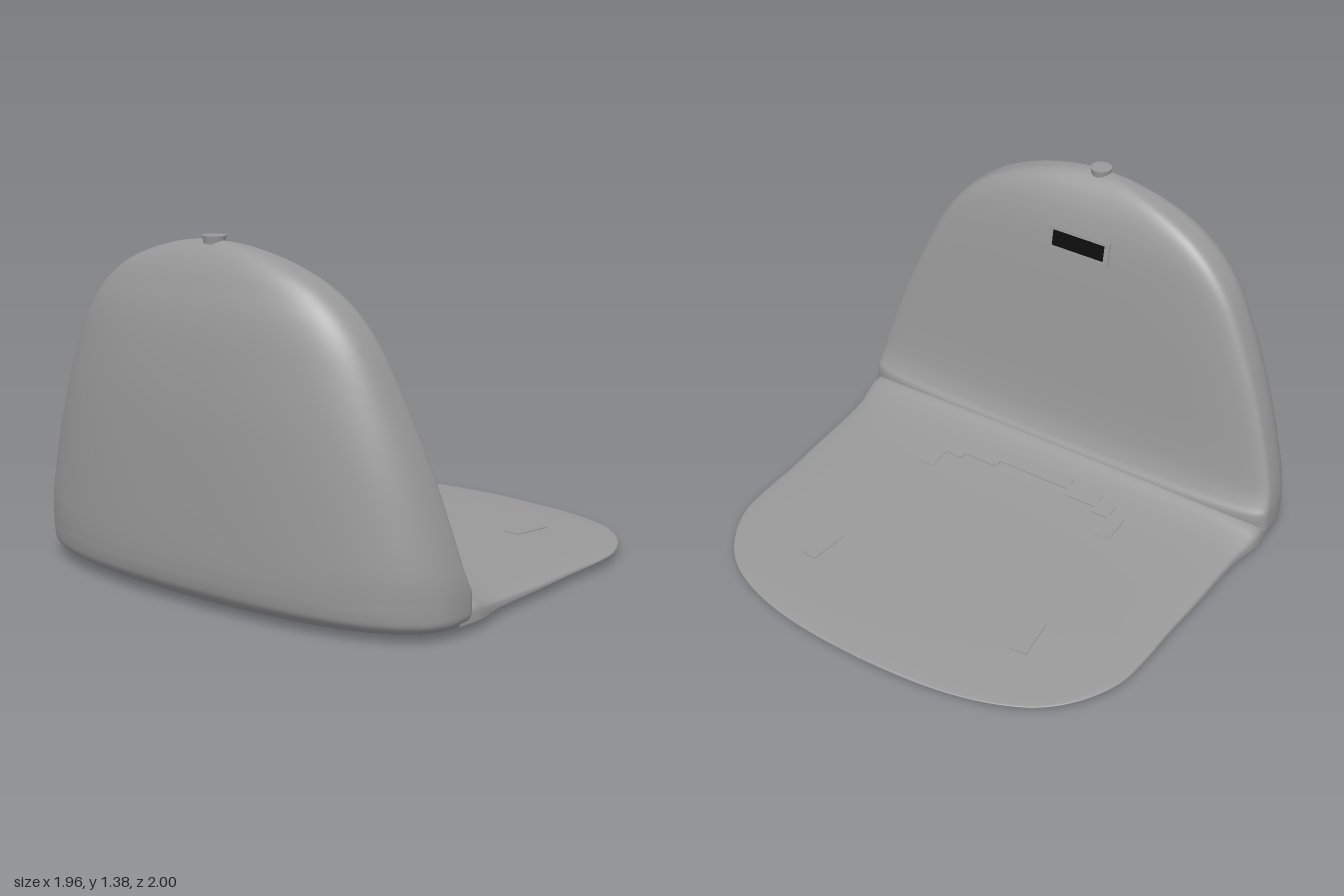
import * as THREE from 'three';

const SEG = 96;

// Smooth interpolation through rows of numbers; the parameter is the row index
function spline(rows) {
  const n = rows[0].length;
  const c = new THREE.CubicInterpolant(rows.map((_, i) => i), rows.flat(), n, new Float32Array(n));
  return t => Array.from(c.evaluate(t));
}

// Skin closed rings of points into one smooth surface
function loft(rings) {
  const pos = rings.flat(2), idx = [];
  for (let i = 0; i < rings.length - 1; i++) {
    for (let j = 0; j < SEG; j++) {
      const k = (j + 1) % SEG;
      const a = i * SEG + j, b = a + SEG, c = i * SEG + k, d = c + SEG;
      idx.push(a, b, c, b, d, c);
    }
  }
  const g = new THREE.BufferGeometry();
  g.setAttribute('position', new THREE.Float32BufferAttribute(pos, 3));
  g.setIndex(idx);
  g.computeVertexNormals();
  return g;
}

// Gently dished underside shared by upright and plate
const floorY = (x, z) =>
  0.04 * z * z + 0.04 * Math.max(0, (-0.55 - x) / 0.4) ** 4 + 0.035 * Math.max(0, x) ** 4;

const spow = (v, e) => Math.sign(v) * Math.abs(v) ** e;

// Upright: horizontal sections, flat towards +x and bowed towards -x
function uprightGeometry() {
  // height, back x, middle x, front x, half width
  const at = spline([
    [0, -0.9, -0.58, -0.46, 0.975],
    [0.03, -0.955, -0.58, -0.46, 0.997],
    [0.08, -0.972, -0.58, -0.46, 1],
    [0.14, -0.978, -0.58, -0.462, 0.999],
    [0.18, -0.98, -0.585, -0.485, 0.996],
    [0.26, -0.981, -0.6, -0.513, 0.983],
    [0.4, -0.98, -0.62, -0.535, 0.945],
    [0.6, -0.975, -0.65, -0.556, 0.88],
    [0.8, -0.965, -0.68, -0.576, 0.8],
    [1, -0.943, -0.71, -0.599, 0.705],
    [1.12, -0.921, -0.73, -0.617, 0.62],
    [1.2, -0.895, -0.742, -0.638, 0.533],
    [1.26, -0.872, -0.755, -0.662, 0.435],
    [1.31, -0.845, -0.765, -0.692, 0.31],
    [1.345, -0.817, -0.773, -0.728, 0.18],
    [1.36, -0.796, -0.777, -0.756, 0.08],
    [1.365, -0.777, -0.777, -0.777, 0],
  ]);
  const ring = (t, scale) => {
    const [h, back, mid, front, w] = at(t);
    const lift = Math.max(0, 1 - h / 0.25);
    return Array.from({ length: SEG }, (_, j) => {
      const a = (j / SEG) * Math.PI * 2, c = Math.cos(a), s = Math.sin(a);
      const e = c > 0 ? 2 / 5 : 2 / 2.4;
      const reach = c > 0 ? front - mid : mid - back;
      const x = mid + scale * reach * spow(c, e);
      const z = scale * w * spow(s, e);
      return [x, h + lift * floorY(x, z), z];
    });
  };
  const rings = [0, 0.2, 0.4, 0.6, 0.8, 0.92].map(s => ring(0, s));
  for (let t = 0; t <= 16; t += 0.25) rings.push(ring(t, 1));
  return loft(rings);
}

// Base plate: vertical sections along x, thinning to a lens at the free end
function plateGeometry() {
  // x, half width, top height
  const at = spline([
    [-0.58, 0.985, 0.15],
    [-0.5, 0.993, 0.15],
    [-0.46, 0.993, 0.143],
    [-0.41, 0.985, 0.121],
    [-0.33, 0.968, 0.101],
    [-0.2, 0.96, 0.086],
    [0, 0.955, 0.076],
    [0.2, 0.946, 0.071],
    [0.4, 0.944, 0.066],
    [0.55, 0.925, 0.061],
    [0.7, 0.852, 0.056],
    [0.82, 0.74, 0.051],
    [0.9, 0.585, 0.047],
    [0.95, 0.4, 0.043],
    [0.974, 0.2, 0.041],
    [0.982, 0, 0.038],
  ]);
  const rings = [];
  for (let t = 0; t <= 15; t += 0.25) {
    const [x, w, top] = at(t);
    const n = THREE.MathUtils.mapLinear(x, -0.58, 0.98, 4.5, 2.5);
    rings.push(Array.from({ length: SEG }, (_, j) => {
      const a = (j / SEG) * Math.PI * 2, u = Math.cos(a), z = u * w;
      const low = floorY(x, z);
      const h = Math.sin(a) > 1e-6 ? Math.max(0, 1 - Math.abs(u) ** n) ** (1 / n) : 0;
      return [x, low + Math.max(0, top - low) * h, z];
    }));
  }
  return loft(rings);
}

export function createModel() {
  const model = new THREE.Group();
  model.name = 'standWithBackrest';
  const grey = new THREE.MeshStandardMaterial({ color: 0x999999 });
  grey.name = 'grey';
  const black = new THREE.MeshStandardMaterial({ color: 0x0c0c0c });
  black.name = 'black';

  const add = (name, geometry, material, parent = model) => {
    const mesh = new THREE.Mesh(geometry, material);
    mesh.name = name;
    parent.add(mesh);
    return mesh;
  };

  add('upright', uprightGeometry(), grey);
  add('basePlate', plateGeometry(), grey);

  // Button on the crown
  add('topButton', new THREE.CylinderGeometry(0.045, 0.04, 0.03, 32), grey)
    .position.set(-0.777, 1.365, 0);

  // Display slot with a thin frame, leaning with the front face
  const slot = new THREE.Group();
  slot.name = 'displaySlot';
  slot.position.set(-0.613, 1.09, 0);
  slot.rotation.set(0, Math.PI / 2, 0);
  const lean = new THREE.Group();
  lean.name = 'displayLean';
  lean.rotation.x = -0.16;
  slot.add(lean);
  model.add(slot);
  const rect = (Kind, w, h) => new Kind([
    new THREE.Vector2(-w, -h), new THREE.Vector2(w, -h),
    new THREE.Vector2(w, h), new THREE.Vector2(-w, h),
  ]);
  const frame = rect(THREE.Shape, 0.148, 0.052);
  frame.holes.push(rect(THREE.Path, 0.124, 0.036));
  add('displayFrame', new THREE.ExtrudeGeometry(frame, { depth: 0.008, bevelEnabled: false }), grey, lean);
  add('displayWindow', new THREE.BoxGeometry(0.25, 0.074, 0.008), black, lean);

  // Low relief on the deck: x, y, z, length, width, tilt, turn
  const relief = (name, x, y, z, length, width, tilt, turn = 0) => {
    const m = add(name, new THREE.BoxGeometry(length, 0.009, width), grey);
    m.position.set(x, y, z);
    m.rotation.set(0, turn, tilt);
  };
  relief('heelStop', -0.315, 0.098, 0, 0.06, 0.34, -0.14);
  for (const s of [-1, 1]) {
    relief('heelStep', -0.285, 0.094, s * 0.25, 0.07, 0.16, -0.12);
    relief('heelStep', -0.255, 0.0905, s * 0.37, 0.07, 0.08, -0.1);
    relief('heelEnd', -0.18, 0.083, s * 0.445, 0.13, 0.07, -0.08);
    relief('toeMark', 0.54, 0.058, s * 0.505, 0.18, 0.07, -0.03, s > 0 ? -0.12 : 0.12);
  }
  return model;
}
